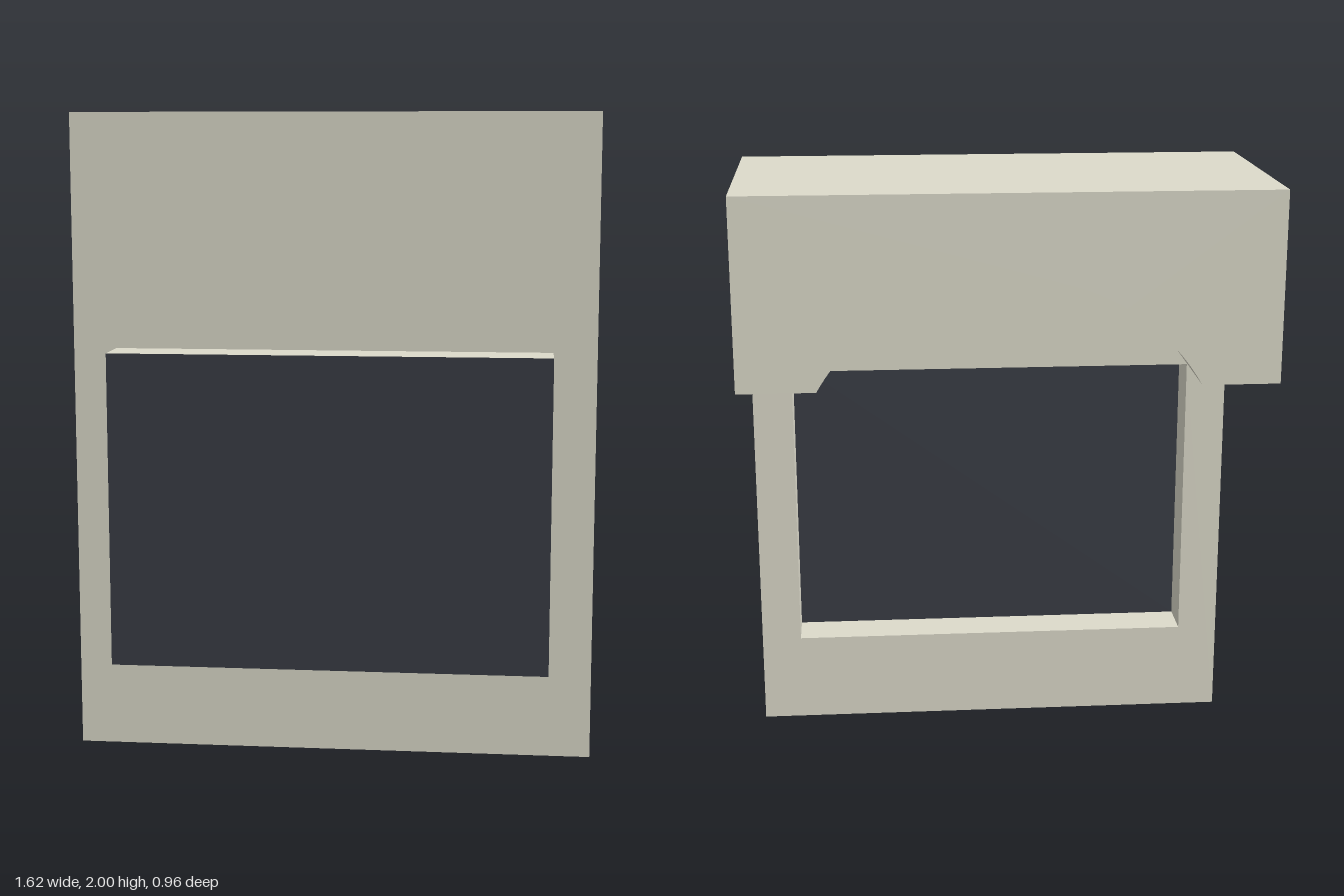
import * as THREE from 'three';
import { toCreasedNormals } from 'three/addons/utils/BufferGeometryUtils.js';

const W = 0.81, TOP = 2, LEDGE = 1.42;            // half width, height, underside of the hood
const BACK = -0.48, FACE = 0.333, FRONT = 0.48;   // depths
const ARCH_R = 0.662, ARCH_Y = 1.089;             // arch radius and centre height
const WIN = { x: 0.676, y0: 0.30, y1: 1.275 };    // window opening

export function createModel() {
  const group = new THREE.Group();
  const beige = new THREE.MeshStandardMaterial({ color: 0xdddbcb, side: THREE.DoubleSide });
  const dark = new THREE.MeshStandardMaterial({ color: 0x3a3d45, side: THREE.DoubleSide });

  const add = (name, geometry, material, parent = group) => {
    const mesh = new THREE.Mesh(geometry, material);
    mesh.name = name;
    parent.add(mesh);
    return mesh;
  };

  // Outline that follows the arched underside, closed at the given far height
  const archAngle = Math.asin((LEDGE - ARCH_Y) / ARCH_R);
  const archedOutline = (farY) => {
    const s = new THREE.Shape();
    s.moveTo(-W, farY);
    s.lineTo(-W, LEDGE);
    s.absarc(0, ARCH_Y, ARCH_R, Math.PI - archAngle, archAngle, true);
    s.lineTo(W, LEDGE);
    s.lineTo(W, farY);
    s.closePath();
    return s;
  };

  // Hood block with the arch cut through its underside
  const hood = new THREE.ExtrudeGeometry(archedOutline(TOP), {
    depth: FACE - BACK, bevelEnabled: false, curveSegments: 48,
  });
  hood.translate(0, 0, BACK);
  add('hood', toCreasedNormals(hood, 0.5), beige);

  // Thin front plate, filling the arch and pierced by the window
  const plate = archedOutline(0);
  const hole = new THREE.Path();
  hole.moveTo(-WIN.x, WIN.y0);
  hole.lineTo(-WIN.x, WIN.y1);
  hole.lineTo(WIN.x, WIN.y1);
  hole.lineTo(WIN.x, WIN.y0);
  hole.closePath();
  plate.holes.push(hole);
  add('frontPlate', new THREE.ShapeGeometry(plate, 48), beige).position.z = FACE;

  // Screen box: four thin walls standing out from the plate
  const screenBox = new THREE.Group();
  screenBox.name = 'screenBox';
  group.add(screenBox);
  const h = WIN.y1 - WIN.y0, midY = (WIN.y0 + WIN.y1) / 2, d = FRONT - FACE, midZ = (FRONT + FACE) / 2;
  for (const s of [-1, 1]) {
    const side = add(s > 0 ? 'leftWall' : 'rightWall', new THREE.PlaneGeometry(d, h), beige, screenBox);
    side.rotation.y = s * Math.PI / 2;
    side.position.set(s * WIN.x, midY, midZ);
    const level = add(s > 0 ? 'topWall' : 'bottomWall', new THREE.PlaneGeometry(2 * WIN.x, d), beige, screenBox);
    level.rotation.x = -s * Math.PI / 2;
    level.position.set(0, midY + s * h / 2, midZ);
  }

  // Dark screen closing the front of the box
  add('screen', new THREE.PlaneGeometry(2 * WIN.x, h), dark, screenBox).position.set(0, midY, FRONT);

  return group;
}
